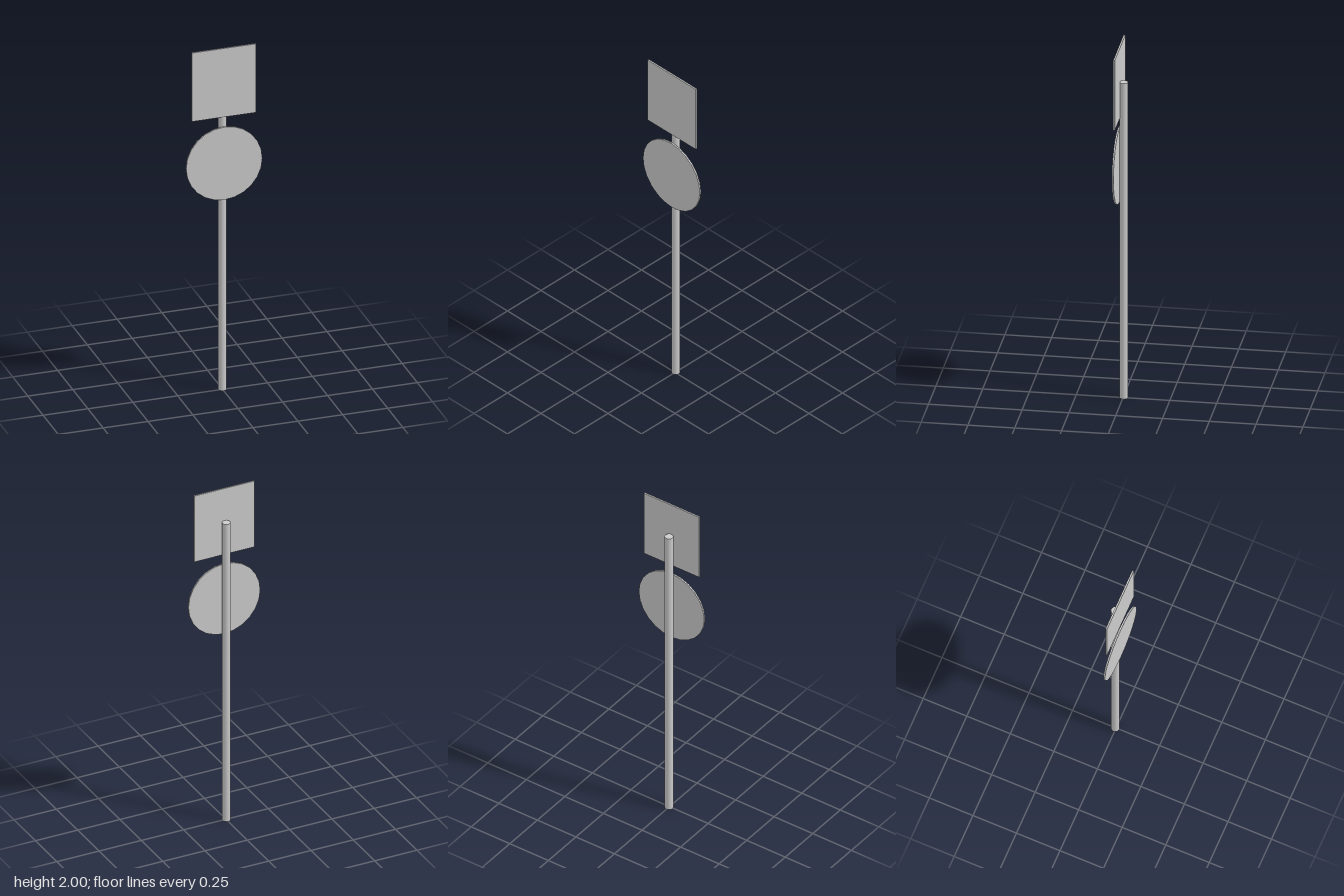
import * as THREE from 'three';

export function createModel() {
  const group = new THREE.Group();
  const material = new THREE.MeshStandardMaterial({ color: 0xcccccc });

  function add(name, geometry, x, y, z) {
    const mesh = new THREE.Mesh(geometry, material);
    mesh.name = name;
    mesh.position.set(x, y, z);
    group.add(mesh);
    return mesh;
  }

  // Round upright post
  add('post', new THREE.CylinderGeometry(0.023, 0.023, 1.805, 24), 0, 0.9025, -0.0045);

  // Thin round sign plate, facing front
  const disc = new THREE.CylinderGeometry(0.212, 0.212, 0.009, 24);
  disc.rotateX(Math.PI / 2);
  add('roundSign', disc, 0, 1.33, 0.0225);

  // Thin rectangular sign plate above it
  add('rectangularSign', new THREE.BoxGeometry(0.357, 0.4, 0.009), 0, 1.8, 0.0205);

  return group;
}
